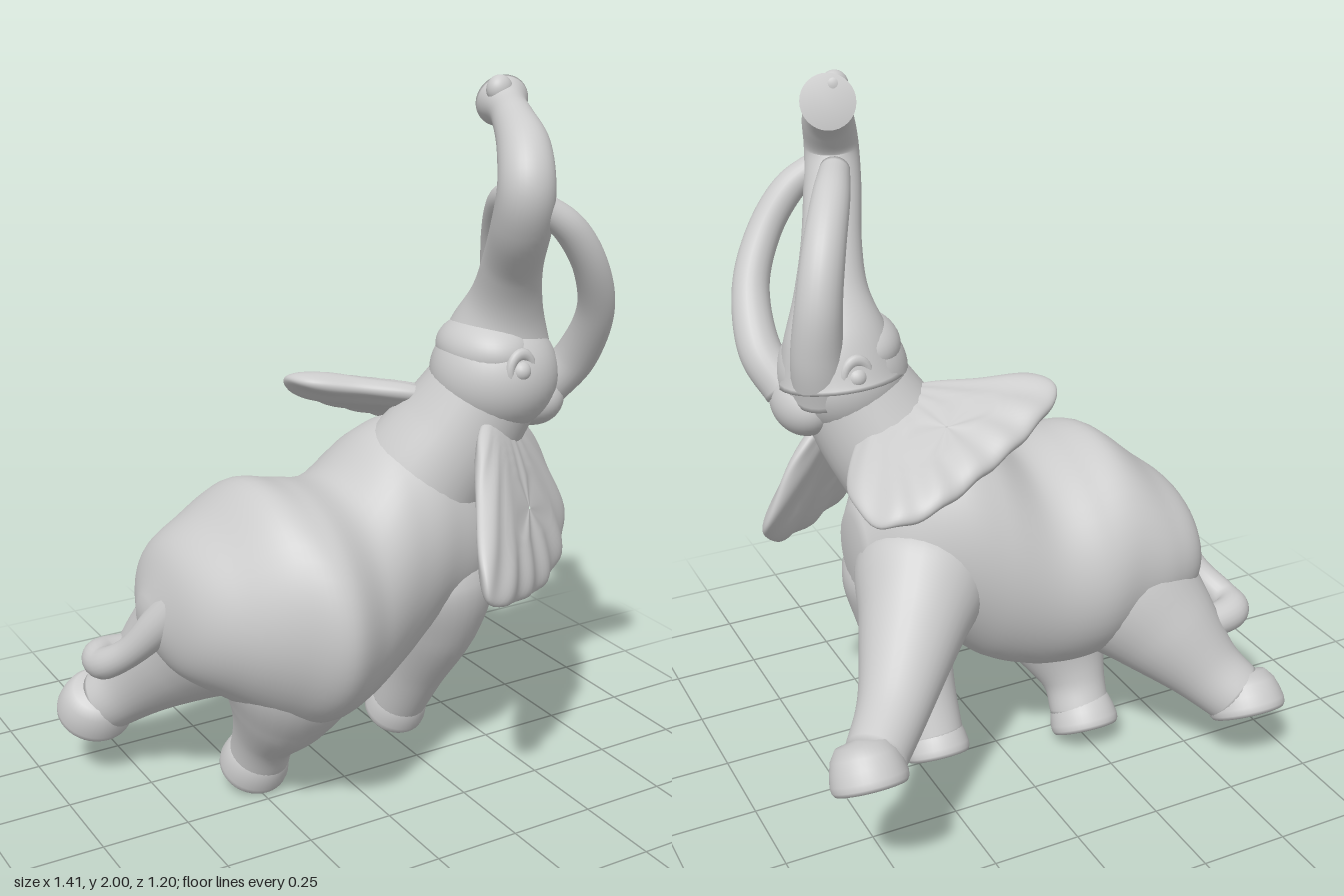
import * as THREE from 'three';

const V = (x, y, z) => new THREE.Vector3(x, y, z);
const material = new THREE.MeshStandardMaterial({ color: 0xcccccc });
const UP = V(0, 0.87, 0.5).normalize(); // the body leans, so the soles are tilted

// Joins a row of closed rings into one smooth skin
function skin(rings) {
  const n = rings[0].length, pos = [], idx = [];
  rings.forEach((ring) => ring.forEach((p) => pos.push(p.x, p.y, p.z)));
  for (let i = 0; i < rings.length - 1; i++) {
    for (let j = 0; j < n; j++) {
      const a = i * n + j, b = i * n + (j + 1) % n;
      idx.push(a, b, a + n, b, b + n, a + n);
    }
  }
  const g = new THREE.BufferGeometry();
  g.setAttribute('position', new THREE.Float32BufferAttribute(pos, 3));
  g.setIndex(idx);
  g.computeVertexNormals();
  return g;
}

// Lofts ellipses along a path; rows are [x, y, z, radiusU, radiusV]
function loft(rows, steps = 40, u, v, sides = 32) {
  const path = new THREE.CatmullRomCurve3(rows.map((r) => V(r[0], r[1], r[2])), false, 'catmullrom');
  const size = new THREE.CatmullRomCurve3(rows.map((r) => V(r[3], r[4] ?? r[3], 0)), false, 'catmullrom');
  const rings = [];
  let side = V(0.3, 0.2, 0.9);
  const addRing = (t, k) => {
    const c = path.getPoint(t), s = size.getPoint(t), tan = path.getTangent(t);
    side = side.clone().addScaledVector(tan, -side.dot(tan)).normalize();
    const U = u ?? side, W = v ?? tan.clone().cross(side);
    rings.push(Array.from({ length: sides }, (_, j) => {
      const a = (j / sides) * Math.PI * 2;
      return c.clone().addScaledVector(U, Math.cos(a) * Math.max(s.x, 0.002) * k)
        .addScaledVector(W, Math.sin(a) * Math.max(s.y, 0.002) * k);
    }));
  };
  addRing(0, 0.001);
  for (let i = 0; i <= steps; i++) addRing(i / steps, 1);
  addRing(1, 0.001);
  return skin(rings);
}

// Thin ear from a flat outline, with ripples fanning out from its root;
// place(a, b, offset) puts it in space
function ear(outline, root, thickness, place) {
  const pts = new THREE.CatmullRomCurve3(outline.map(([a, b]) => V(a, b, 0)), true).getPoints(96).slice(0, 96);
  const mid = pts.reduce((m, p) => m.addScaledVector(p, 1 / 96), V(0, 0, 0));
  const rings = [];
  for (let i = 0; i <= 30; i++) {
    const phi = (i / 30 - 0.5) * Math.PI * 0.9999;
    const s = Math.pow(Math.cos(phi), 0.5);
    rings.push(pts.map((p) => {
      const q = mid.clone().lerp(p, s);
      const dx = q.x - root[0], dy = q.y - root[1];
      const ripple = 0.012 * Math.hypot(dx, dy) * Math.sin(24 * Math.atan2(dx, -dy));
      return place(q.x, q.y, thickness * Math.sin(phi) + ripple);
    }));
  }
  return skin(rings);
}

export function createModel() {
  const model = new THREE.Group();
  model.name = 'elephant';
  const add = (name, geometry) => {
    const mesh = new THREE.Mesh(geometry, material);
    mesh.name = name;
    model.add(mesh);
    return mesh;
  };
  const ball = (name, c, r) => {
    const mesh = add(name, new THREE.SphereGeometry(1, 40, 28));
    mesh.position.set(...c);
    mesh.scale.set(...r);
  };

  // Body from rump to chest, in upright slices
  add('body', loft([
    [-0.57, 0.6, -0.1, 0.04, 0.04],
    [-0.51, 0.62, -0.07, 0.17, 0.2],
    [-0.41, 0.63, -0.03, 0.25, 0.285],
    [-0.3, 0.64, 0.01, 0.325, 0.335],
    [-0.19, 0.62, 0.035, 0.335, 0.37],
    [-0.06, 0.62, 0.02, 0.325, 0.325],
    [0.08, 0.7, 0.005, 0.345, 0.285],
    [0.2, 0.765, 0.01, 0.31, 0.25],
    [0.33, 0.755, 0.03, 0.235, 0.19],
    [0.42, 0.74, 0.03, 0.1, 0.08],
  ], 60, V(0, 1, 0), V(0, 0, 1), 48));

  add('neck', loft([
    [0.16, 0.75, 0.02, 0.2], [0.21, 0.9, 0.045, 0.19],
    [0.3, 1.05, 0.1, 0.17], [0.38, 1.2, 0.15, 0.15],
  ], 24));

  // Head
  ball('head', [0.38, 1.21, 0.15], [0.175, 0.165, 0.175]);
  ball('brow', [0.345, 1.285, 0.15], [0.12, 0.09, 0.15]);
  ball('jaw', [0.49, 1.14, 0.16], [0.085, 0.09, 0.12]);
  [[0.36, 1.25, 0.3], [0.4, 1.25, -0.005]].forEach(([x, y, z], i) => {
    const eye = add(i ? 'farEye' : 'nearEye', new THREE.SphereGeometry(0.028, 20, 14));
    eye.position.set(x, y, z);
    const lid = add(i ? 'farEyelid' : 'nearEyelid', new THREE.TorusGeometry(0.035, 0.013, 10, 28));
    lid.position.copy(eye.position);
    lid.scale.y = 1.3;
  });

  // Raised trunk, curling over and flaring at the tip
  add('trunk', loft([
    [0.39, 1.2, 0.13, 0.17], [0.395, 1.31, 0.145, 0.14], [0.385, 1.42, 0.19, 0.098],
    [0.355, 1.53, 0.255, 0.08], [0.31, 1.65, 0.35, 0.077], [0.295, 1.75, 0.385, 0.073],
    [0.32, 1.835, 0.335, 0.068], [0.35, 1.89, 0.25, 0.055], [0.375, 1.915, 0.185, 0.052],
    [0.395, 1.93, 0.13, 0.07],
  ], 70));
  ball('trunkFinger', [0.365, 1.963, 0.16], [0.036, 0.037, 0.03]);

  // Long tusks that sweep up to meet the trunk
  add('nearTusk', loft([
    [0.52, 1.16, 0.2, 0.06], [0.565, 1.26, 0.27, 0.058], [0.55, 1.4, 0.36, 0.05],
    [0.49, 1.53, 0.41, 0.046], [0.41, 1.64, 0.42, 0.043], [0.32, 1.71, 0.4, 0.035],
  ], 40, undefined, undefined, 24));
  add('farTusk', loft([
    [0.46, 1.18, 0.09, 0.08], [0.48, 1.3, 0.06, 0.07], [0.475, 1.44, 0.045, 0.061],
    [0.44, 1.57, 0.085, 0.056], [0.38, 1.67, 0.18, 0.05], [0.32, 1.71, 0.3, 0.04],
  ], 40, undefined, undefined, 24));

  // Near ear hangs down, far ear spreads behind the head
  add('nearEar', ear([
    [0.25, 1.1], [0.15, 0.97], [0.07, 0.84], [0.08, 0.76], [0.23, 0.7], [0.4, 0.67],
    [0.56, 0.7], [0.62, 0.78], [0.58, 0.92], [0.49, 1.05], [0.37, 1.11],
  ], [0.35, 1.15], 0.04,
  (x, y, t) => V(x + 0.5 * t, y + 0.3 * t, 0.57 - 0.79 * (x - 0.08) - 0.5 * (y - 0.8) + 0.8 * t)));
  add('farEar', ear([
    [-0.1, -0.16], [-0.08, -0.07], [0.05, 0], [0.2, 0.08], [0.33, 0.06], [0.43, -0.03],
    [0.49, -0.15], [0.46, -0.29], [0.35, -0.325], [0.17, -0.29], [0.02, -0.24],
  ], [0.28, 0.12], 0.04, (x, z, t) => V(x, 1.16 + 0.3 * z - 0.3 * (x - 0.1) + t, z - 0.3 * t)));

  // Legs: rows down to the ankle, then a flared foot with a flat sole
  const legs = {
    hindLegFar: [[[-0.27, 0.63, -0.03, 0.2], [-0.33, 0.54, -0.12, 0.22], [-0.42, 0.42, -0.225, 0.165], [-0.51, 0.3, -0.32, 0.108], [-0.575, 0.23, -0.385, 0.092]],
      [-0.6, 0.18, -0.42], 0.11],
    hindLegNear: [[[-0.19, 0.58, 0.05, 0.22], [-0.2, 0.43, 0.05, 0.21], [-0.215, 0.31, 0.02, 0.155], [-0.235, 0.19, -0.04, 0.095], [-0.235, 0.1, -0.085, 0.087]],
      [-0.24, 0.05, -0.115], 0.1],
    frontLegNear: [[[0.23, 0.76, 0.04, 0.12], [0.255, 0.62, 0.07, 0.17], [0.26, 0.48, 0.06, 0.135], [0.25, 0.3, -0.02, 0.098], [0.24, 0.15, -0.095, 0.082]],
      [0.24, 0.105, -0.12], 0.092],
    frontLegFar: [[[0.2, 0.76, 0.0, 0.13], [0.26, 0.68, -0.08, 0.185], [0.35, 0.59, -0.2, 0.142], [0.47, 0.49, -0.36, 0.097], [0.58, 0.43, -0.485, 0.08]],
      [0.605, 0.385, -0.525], 0.1],
  };
  for (const [name, [rows, sole, r]] of Object.entries(legs)) {
    add(name, loft(rows, 32));
    const profile = [[0, 0], [0.93, 0], [0.99, 0.01], [1, 0.026], [0.95, 0.055], [0.86, 0.085], [0.68, 0.112], [0, 0.128]]
      .map(([k, y]) => new THREE.Vector2(k * r, y));
    const foot = add(name + 'Foot', new THREE.LatheGeometry(profile, 40));
    foot.position.set(...sole);
    foot.quaternion.setFromUnitVectors(V(0, 1, 0), UP);
  }

  // Tail drops from the rump and curls against the hind leg
  add('tail', loft([
    [-0.44, 0.72, 0.02, 0.07], [-0.53, 0.6, -0.05, 0.055], [-0.595, 0.5, -0.12, 0.042],
    [-0.64, 0.44, -0.2, 0.045], [-0.625, 0.43, -0.27, 0.05], [-0.52, 0.42, -0.29, 0.045],
  ], 40, undefined, undefined, 20));

  return model;
}
